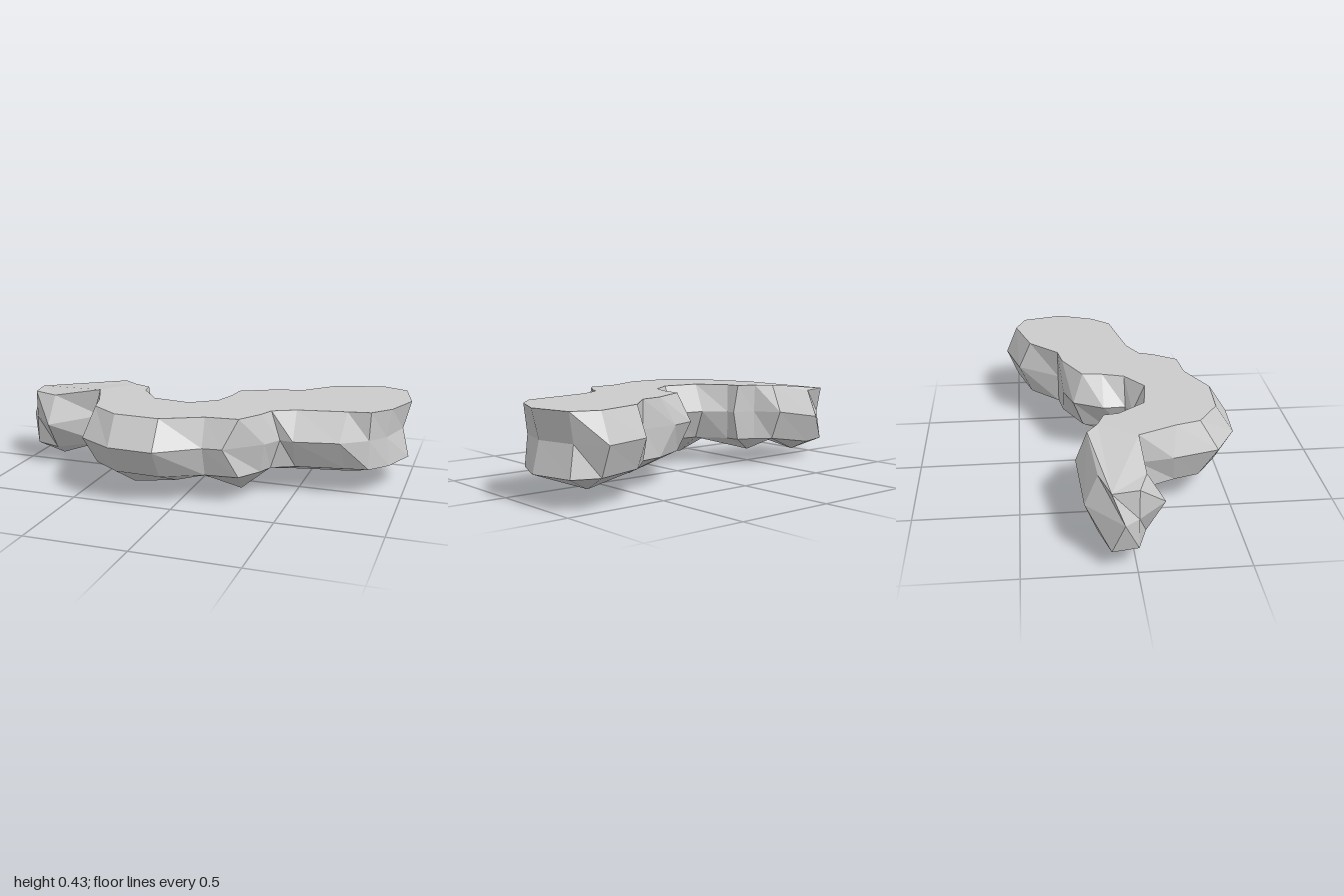
import * as THREE from 'three';

// Outline of the ledge, clockwise from above: rim x, rim z, girdle x, girdle z
const OUTLINE = [
  [-0.97, -0.11, -1, -0.055], [-0.81, -0.155, -0.815, -0.215], [-0.505, -0.18, -0.51, -0.235],
  [-0.43, -0.125, -0.425, -0.125], [-0.34, -0.09, -0.315, -0.085], [-0.33, -0.02, -0.31, -0.045],
  [-0.225, 0.115, -0.215, 0.05], [-0.035, 0.14, -0.035, 0.08], [0.09, 0.05, 0.02, 0.05],
  [0.125, -0.06, 0.015, -0.06], [0.135, -0.16, 0.09, -0.21], [0.32, -0.255, 0.225, -0.255],
  [0.435, -0.275, 0.435, -0.275], [0.58, -0.42, 0.58, -0.485], [0.825, -0.495, 0.825, -0.555],
  [0.95, -0.445, 0.92, -0.43], [1, -0.235, 0.965, -0.235], [0.93, -0.055, 0.91, -0.05],
  [0.845, 0.04, 0.84, 0.04], [0.735, 0.06, 0.715, 0.13], [0.5, 0.105, 0.5, 0.175],
  [0.39, 0.16, 0.435, 0.165], [0.36, 0.235, 0.385, 0.255], [0.285, 0.35, 0.22, 0.4],
  [0.125, 0.365, 0.125, 0.41], [-0.07, 0.46, -0.07, 0.55], [-0.295, 0.45, -0.295, 0.54],
  [-0.44, 0.35, -0.475, 0.435], [-0.475, 0.23, -0.535, 0.215], [-0.555, 0.05, -0.56, 0.05],
  [-0.815, 0.055, -0.82, 0.14], [-0.95, 0.01, -0.95, 0.01],
];
const TOP = 0.43, MIDDLE = 0.29, BOTTOM = 0.145;

// The right-hand end of the ledge dips slightly
const dip = (x) => 0.05 * THREE.MathUtils.clamp((-0.57 - x) / 0.23, 0, 1);
const point = (x, y, z) => new THREE.Vector3(x, y - dip(x), z);

const rim = OUTLINE.map(([x, z]) => point(x, TOP, z));
const girdle = OUTLINE.map(([, , x, z]) => point(x, MIDDLE, z));
const foot = OUTLINE.map(([x, z]) => point(x, BOTTOM, z));

const material = new THREE.MeshStandardMaterial({ color: 0xcccccc, flatShading: true });

function makeMesh(name, corners) {
  const geometry = new THREE.BufferGeometry().setFromPoints(corners);
  geometry.computeVertexNormals();
  const mesh = new THREE.Mesh(geometry, material);
  mesh.name = name;
  return mesh;
}

// Flat walking surface
function topSurface() {
  const flat = rim.map((p) => new THREE.Vector2(p.x, p.z));
  const corners = [];
  for (const [a, b, c] of THREE.ShapeUtils.triangulateShape(flat, [])) {
    const up = (flat[b].x - flat[a].x) * (flat[c].y - flat[a].y)
      - (flat[b].y - flat[a].y) * (flat[c].x - flat[a].x) < 0;
    corners.push(rim[a], rim[up ? b : c], rim[up ? c : b]);
  }
  return corners;
}

// Band of quads between two rings
function band(upper, lower) {
  const corners = [];
  upper.forEach((p, i) => {
    const j = (i + 1) % upper.length;
    corners.push(p, upper[j], lower[i], upper[j], lower[j], lower[i]);
  });
  return corners;
}

// Faceted rock hanging from an edge chain to a tip
function fan(tip, edge, closed) {
  const corners = [];
  const count = closed ? edge.length : edge.length - 1;
  for (let i = 0; i < count; i++) corners.push(edge[i], edge[(i + 1) % edge.length], tip);
  return corners;
}

export function createModel() {
  const group = new THREE.Group();
  group.name = 'rockLedge';
  group.add(makeMesh('topSurface', topSurface()));
  group.add(makeMesh('upperSide', band(rim, girdle)));
  group.add(makeMesh('lowerSide', band(girdle, foot)));

  // Underside: each lobe tapers to its own point, two have a secondary point
  const at = (...ids) => ids.map((i) => foot[i]);
  const v = (x, y, z) => new THREE.Vector3(x, y, z);
  const frontSpur = v(-0.05, 0.075, 0.29);
  const leftSpur = v(0.505, 0.085, -0.05);
  const lobes = [
    ['rightEndRock', v(-0.82, 0.04, -0.03), at(29, 30, 31, 0, 1, 2), true],
    ['neckRock', v(-0.445, 0.08, -0.055), at(28, 29, 2, 3, 4, 5, 6), true],
    ['frontRock', v(-0.265, 0.045, 0.29), [...at(26, 27, 28, 6), frontSpur], true],
    ['frontSpur', frontSpur, at(6, 7, 24, 25, 26), false],
    ['middleRock', v(0.23, 0.005, 0.11), at(7, 8, 9, 10, 11, 12, 21, 22, 23, 24), true],
    ['leftSpur', leftSpur, at(20, 21, 12, 13), false],
    ['leftEndRock', v(0.71, 0.04, -0.22), [...at(13, 14, 15, 16, 17, 18, 19, 20), leftSpur], true],
  ];
  for (const [name, tip, edge, closed] of lobes) group.add(makeMesh(name, fan(tip, edge, closed)));
  return group;
}
